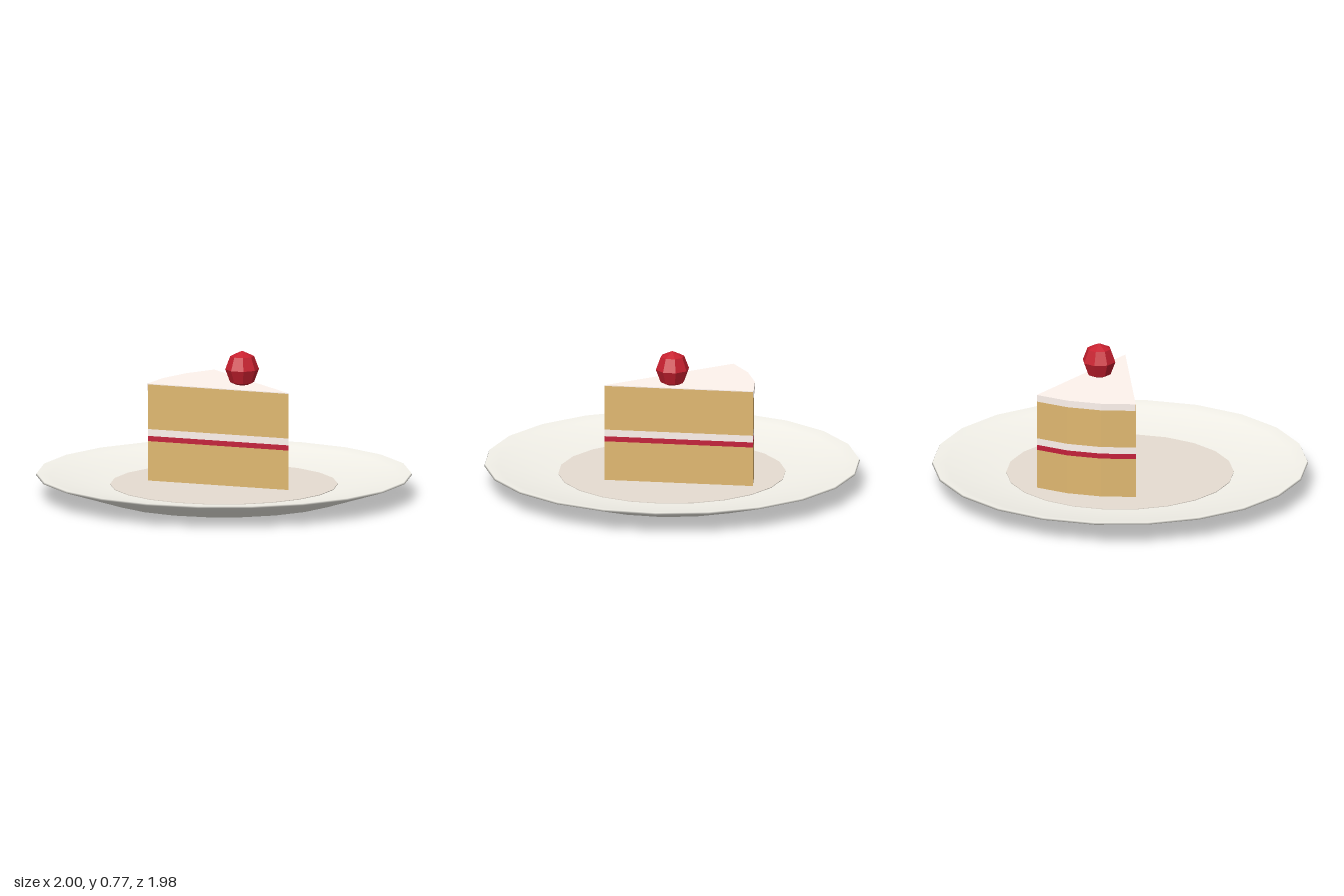
import * as THREE from 'three';

const mat = (color, flatShading = false) => new THREE.MeshStandardMaterial({ color, flatShading });

const APEX = [0.08, 0.382];
const RADIUS = 0.798;
const HALF_ANGLE = THREE.MathUtils.degToRad(20);

// Horizontal slab of the slice: pointed at the front, three-sided arc at the back
function wedge(name, y0, y1, material, halfAngle = HALF_ANGLE, radius = RADIUS) {
  const shape = new THREE.Shape();
  shape.moveTo(0, 0);
  for (let i = 0; i <= 3; i++) {
    const a = halfAngle * (1 - (2 * i) / 3);
    shape.lineTo(Math.sin(a) * radius, Math.cos(a) * radius);
  }
  shape.closePath();
  const geo = new THREE.ExtrudeGeometry(shape, { depth: y1 - y0, bevelEnabled: false });
  geo.rotateX(-Math.PI / 2);
  const mesh = new THREE.Mesh(geo, material);
  mesh.name = name;
  mesh.position.set(APEX[0], y0, APEX[1]);
  return mesh;
}

export function createModel() {
  const model = new THREE.Group();
  model.name = 'cakeSliceOnPlate';

  // Plate: one closed 22-sided turned profile, underside to rim to floor
  const profile = [
    [0, 0], [0.65, 0], [1, 0.112], [0.995, 0.122], [0.93, 0.108], [0.6, 0.06], [0, 0.055],
  ].map(([r, y]) => new THREE.Vector2(r, y));
  const plate = new THREE.Mesh(new THREE.LatheGeometry(profile, 22, Math.PI / 2), mat(0xf4f2ea));
  plate.name = 'plate';
  model.add(plate);

  // Tinted disc in the plate's centre
  const well = new THREE.Mesh(new THREE.CylinderGeometry(0.605, 0.605, 0.012, 22, 1, false, Math.PI / 2), mat(0xe6ddd2));
  well.name = 'plateCentre';
  well.position.y = 0.058;
  model.add(well);

  // Cake slice, layer by layer
  const cake = new THREE.Group();
  cake.name = 'cakeSlice';
  const sponge = mat(0xe0b870);
  const cream = mat(0xfff4ee);
  cake.add(
    wedge('lowerSponge', 0.064, 0.277, sponge),
    wedge('jamLayer', 0.277, 0.305, mat(0xc41e3a)),
    wedge('creamLayer', 0.305, 0.342, cream),
    wedge('upperSponge', 0.342, 0.583, sponge),
    // Icing shows on top and on the outer arc, not on the cut sides
    wedge('icing', 0.55, 0.587, cream, HALF_ANGLE - 0.001, RADIUS + 0.004),
  );
  model.add(cake);

  // Faceted cherry resting in the icing
  const cherry = new THREE.Mesh(new THREE.SphereGeometry(0.09, 8, 4), mat(0xc8202f, true));
  cherry.name = 'cherry';
  cherry.scale.y = 1.1;
  cherry.position.set(0.122, 0.669, 0.022);
  model.add(cherry);

  return model;
}
